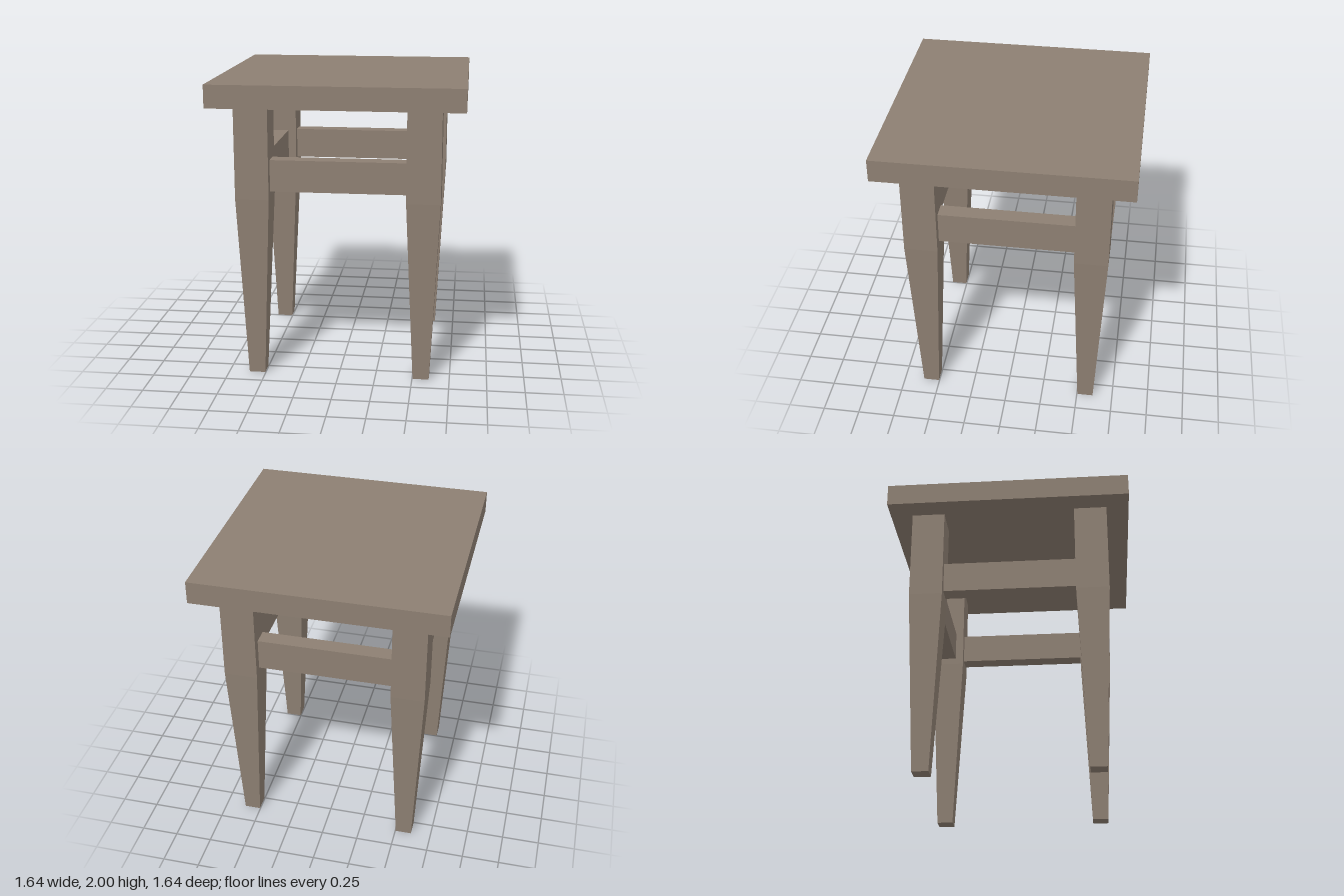
import * as THREE from 'three';

const SEAT_WIDTH = 1.64, SEAT_BOTTOM = 1.85;
const LEG_WIDTH = 0.222, LEG_CENTER = 0.558;
const TAPER_START = 1.23, FOOT_SCALE = 0.49;

// Square leg: straight above TAPER_START, narrowing evenly to the foot
function legGeometry() {
  const geo = new THREE.BoxGeometry(LEG_WIDTH, 2, LEG_WIDTH, 1, 2, 1);
  const pos = geo.attributes.position;
  for (let i = 0; i < pos.count; i++) {
    const level = Math.round(pos.getY(i)) + 1; // 0 foot, 1 taper start, 2 top
    const scale = level === 0 ? FOOT_SCALE : 1;
    pos.setXYZ(i, pos.getX(i) * scale, [0, TAPER_START, SEAT_BOTTOM][level], pos.getZ(i) * scale);
  }
  geo.computeVertexNormals();
  return geo;
}

export function createModel() {
  const stool = new THREE.Group();
  stool.name = 'stool';
  const wood = new THREE.MeshStandardMaterial({ color: 0x8d7f72, flatShading: true });

  const add = (name, geo, x, y, z) => {
    const mesh = new THREE.Mesh(geo, wood);
    mesh.name = name;
    mesh.position.set(x, y, z);
    stool.add(mesh);
    return mesh;
  };

  // Square seat slab
  const seatHeight = 2 - SEAT_BOTTOM;
  add('seat', new THREE.BoxGeometry(SEAT_WIDTH, seatHeight, SEAT_WIDTH), 0, SEAT_BOTTOM + seatHeight / 2, 0);

  // Four tapered legs
  const leg = legGeometry();
  for (const [side, sx] of [['Left', 1], ['Right', -1]]) {
    for (const [end, sz] of [['front', 1], ['back', -1]]) {
      add(`${end}${side}Leg`, leg, sx * LEG_CENTER, 0, sz * LEG_CENTER);
    }
  }

  // Four stretchers, each centred between two neighbouring legs
  const stretcher = new THREE.BoxGeometry(2 * LEG_CENTER - LEG_WIDTH, 0.21, 0.11);
  ['front', 'left', 'back', 'right'].forEach((side, i) => {
    const angle = i * Math.PI / 2;
    const mesh = add(`${side}Stretcher`, stretcher,
      Math.sin(angle) * LEG_CENTER, 1.38, Math.cos(angle) * LEG_CENTER);
    mesh.rotation.y = angle;
  });

  return stool;
}
